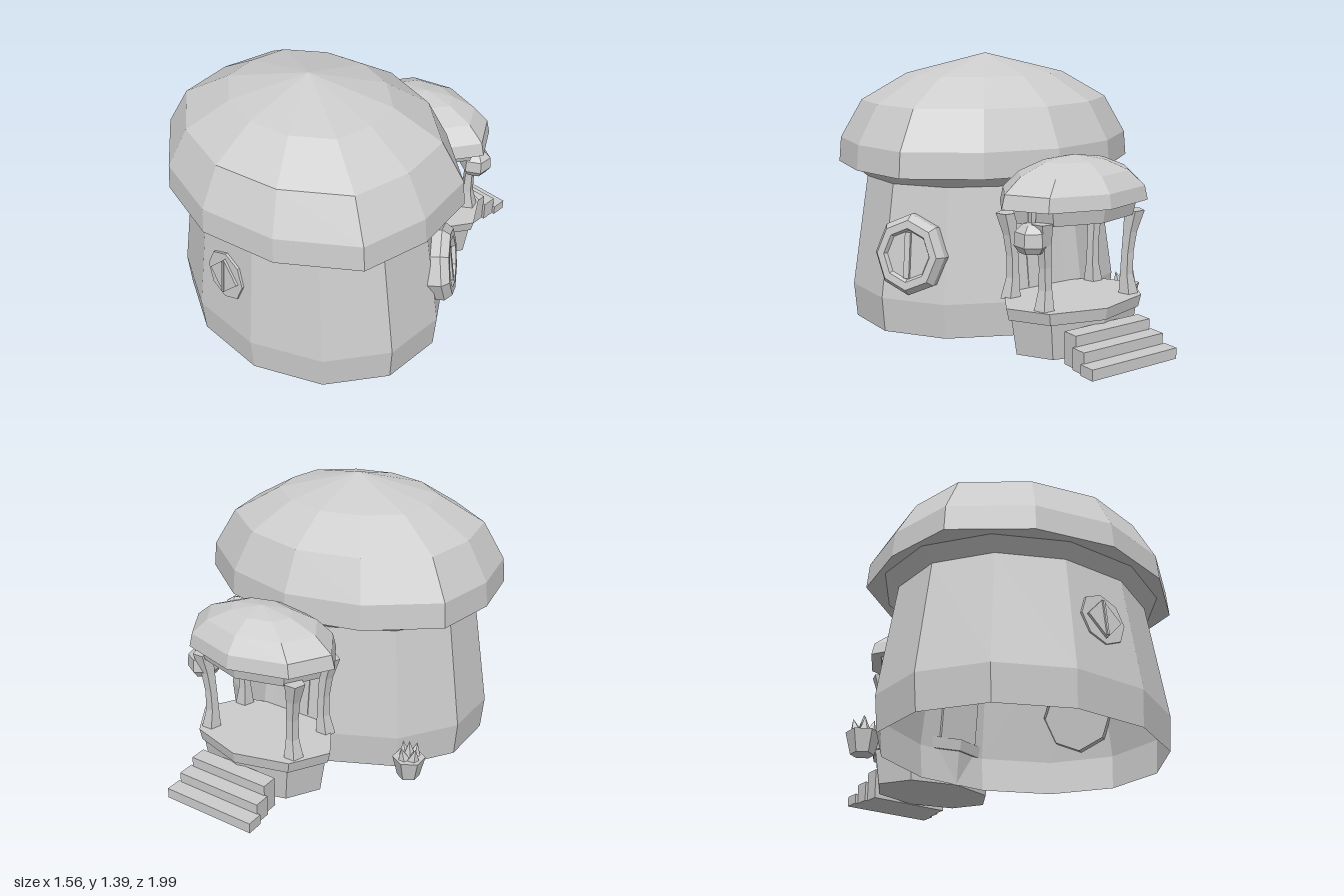
import * as THREE from 'three';

const stone = new THREE.MeshStandardMaterial({ color: 0xcccccc, flatShading: true, side: THREE.DoubleSide });
stone.name = 'plain grey';

// Adds a faceted mesh to a parent
function add(parent, name, geometry, x = 0, y = 0, z = 0) {
  const flat = geometry.index ? geometry.toNonIndexed() : geometry;
  flat.computeVertexNormals();
  const mesh = new THREE.Mesh(flat, stone);
  mesh.name = name;
  mesh.position.set(x, y, z);
  parent.add(mesh);
  return mesh;
}

const lathe = (profile, sides, start = 0) =>
  new THREE.LatheGeometry(profile.map(([r, y]) => new THREE.Vector2(r, y)), sides, start);

const box = (w, h, d) => new THREE.BoxGeometry(w, h, d);

// Flat disc or shallow prism facing +z, with a corner at the top
const prism = (r, depth, sides) => new THREE.CylinderGeometry(r, r, depth, sides).rotateX(Math.PI / 2);

// Waisted column that leans outward at its top
function columnGeometry(outX, outZ) {
  const g = new THREE.CylinderGeometry(1, 1, 1, 5, 4);
  const p = g.attributes.position;
  const width = [0.052, 0.034, 0.031, 0.036, 0.052];
  const lean = [0.01, 0, 0.002, 0.012, 0.03];
  for (let i = 0; i < p.count; i++) {
    const t = p.getY(i) + 0.5;
    const k = Math.round(t * 4);
    p.setXYZ(i, p.getX(i) * width[k] + outX * lean[k], t * 0.43, p.getZ(i) * width[k] + outZ * lean[k]);
  }
  return g;
}

function createHouse() {
  const house = new THREE.Group();
  house.name = 'house';
  house.position.z = 0.305;

  // Hollow wall, open at the bottom
  const wall = lathe([[0.75, 0], [0.765, 0.18], [0.673, 0.76], [0.745, 0.82]], 12, Math.PI / 12);
  wall.scale(1, 1, 0.833);
  add(house, 'wall', wall);

  // Domed cap, a little broader at the diagonal corners
  const cap = lathe([[0, 0.82], [0.9, 0.82], [1, 0.82], [0.985, 0.95], [0.84, 1.15], [0.535, 1.29], [0, 1.395]], 12);
  const p = cap.attributes.position;
  for (let i = 0; i < p.count; i++) {
    const x = p.getX(i), z = p.getZ(i), r = Math.hypot(x, z);
    const wide = r > 0 && Math.abs(Math.abs(x) / r - 0.866) < 0.01 ? 1.065 : 1;
    p.setXYZ(i, x * 0.78 * wide, p.getY(i), z * 0.685);
  }
  add(house, 'domedRoof', cap);
  return house;
}

function createSideWindow() {
  const win = new THREE.Group();
  win.name = 'sideWindow';
  const frame = lathe([[0.2, -0.05], [0.205, 0.045], [0.175, 0.085], [0.135, 0.085], [0.12, 0.06]], 8);
  add(win, 'windowFrame', frame.rotateX(Math.PI / 2).scale(0.93, 1, 1));
  add(win, 'windowPane', prism(0.135, 0.02, 8).scale(0.93, 1, 1), 0, 0, 0.055);
  add(win, 'windowBar', box(0.03, 0.23, 0.02), 0, 0, 0.07);
  win.position.set(0.615, 0.42, 0.02);
  win.rotation.set(-0.13, 2.18, 0, 'YXZ');
  return win;
}

function createFrontWindow() {
  const win = new THREE.Group();
  win.name = 'frontWindow';
  add(win, 'windowRim', prism(0.13, 0.02, 8), 0, 0, -0.012);
  add(win, 'windowPane', prism(0.1, 0.02, 4), 0, 0, 0);
  add(win, 'windowBar', box(0.012, 0.18, 0.012), 0, 0, 0.012);
  // Pointed back reaching into the room
  add(win, 'windowBack', new THREE.ConeGeometry(0.12, 0.18, 4).rotateX(-Math.PI / 2), 0, 0, -0.11);
  win.position.set(0, 0.485, 0.895);
  win.rotation.x = -0.1;
  return win;
}

function createPorch() {
  const porch = new THREE.Group();
  porch.name = 'porch';
  porch.position.set(0.025, 0, -0.525);

  // Eight-sided platform and roof share the same stretched plan
  const ring = (name, profile) => add(porch, name, lathe(profile, 8).scale(1.5, 1, 1));
  ring('platformDrum', [[0, 0], [0.225, 0], [0.245, 0.18]]);
  ring('platformSlab', [[0, 0.18], [0.255, 0.18], [0.265, 0.24], [0, 0.24]]);
  ring('roofBeam', [[0.19, 0.72], [0.19, 0.645], [0.225, 0.645], [0.24, 0.72]]);
  ring('porchRoof', [[0, 0.72], [0.282, 0.72], [0.27, 0.79], [0.21, 0.865], [0.115, 0.92], [0, 0.945]]);

  for (const sx of [-1, 1]) {
    for (const sz of [-1, 1]) {
      const name = sz < 0 ? 'outerColumn' : 'innerColumn';
      add(porch, name, columnGeometry(sx, sz * 0.5), sx * 0.25, 0.23, 0.025 + sz * 0.135);
    }
  }

  // Door against the house wall
  add(porch, 'door', box(0.22, 0.36, 0.02), 0, 0.42, 0.25).rotation.x = 0.12;

  // Three steps, widening toward the ground
  for (let i = 0; i < 3; i++) {
    const h = 0.16 - i * 0.053;
    add(porch, 'step', box(0.45 + i * 0.03, h, 0.085), 0, h / 2, -0.2725 - i * 0.08);
  }

  // Lantern hung from the edge of the roof
  const lantern = new THREE.Group();
  lantern.name = 'lantern';
  add(lantern, 'lanternBody', lathe([[0, -0.08], [0.06, -0.08], [0.085, -0.045], [0.08, 0.02], [0.045, 0.055], [0, 0.065]], 6));
  add(lantern, 'lanternHook', box(0.025, 0.09, 0.025), 0, 0.09, 0);
  lantern.position.set(0.31, 0.6, -0.085);
  porch.add(lantern);
  return porch;
}

function createPlant() {
  const plant = new THREE.Group();
  plant.name = 'pottedPlant';
  plant.position.set(-0.62, 0, -0.165);
  add(plant, 'pot', new THREE.CylinderGeometry(0.085, 0.058, 0.11, 6), 0, 0.055, 0);
  // Pointed leaves
  for (let i = 0; i < 4; i++) {
    const a = i * Math.PI / 2 + 0.4;
    const leaf = add(plant, 'leaf', new THREE.ConeGeometry(0.036, 0.08, 5), Math.cos(a) * 0.042, 0.14, Math.sin(a) * 0.042);
    leaf.rotation.set(Math.sin(a) * 0.25, 0, -Math.cos(a) * 0.25);
  }
  add(plant, 'leaf', new THREE.ConeGeometry(0.04, 0.1, 5), 0, 0.155, 0);
  return plant;
}

export function createModel() {
  const model = new THREE.Group();
  model.name = 'domedHouse';
  model.add(createHouse(), createSideWindow(), createFrontWindow(), createPorch(), createPlant());
  return model;
}
